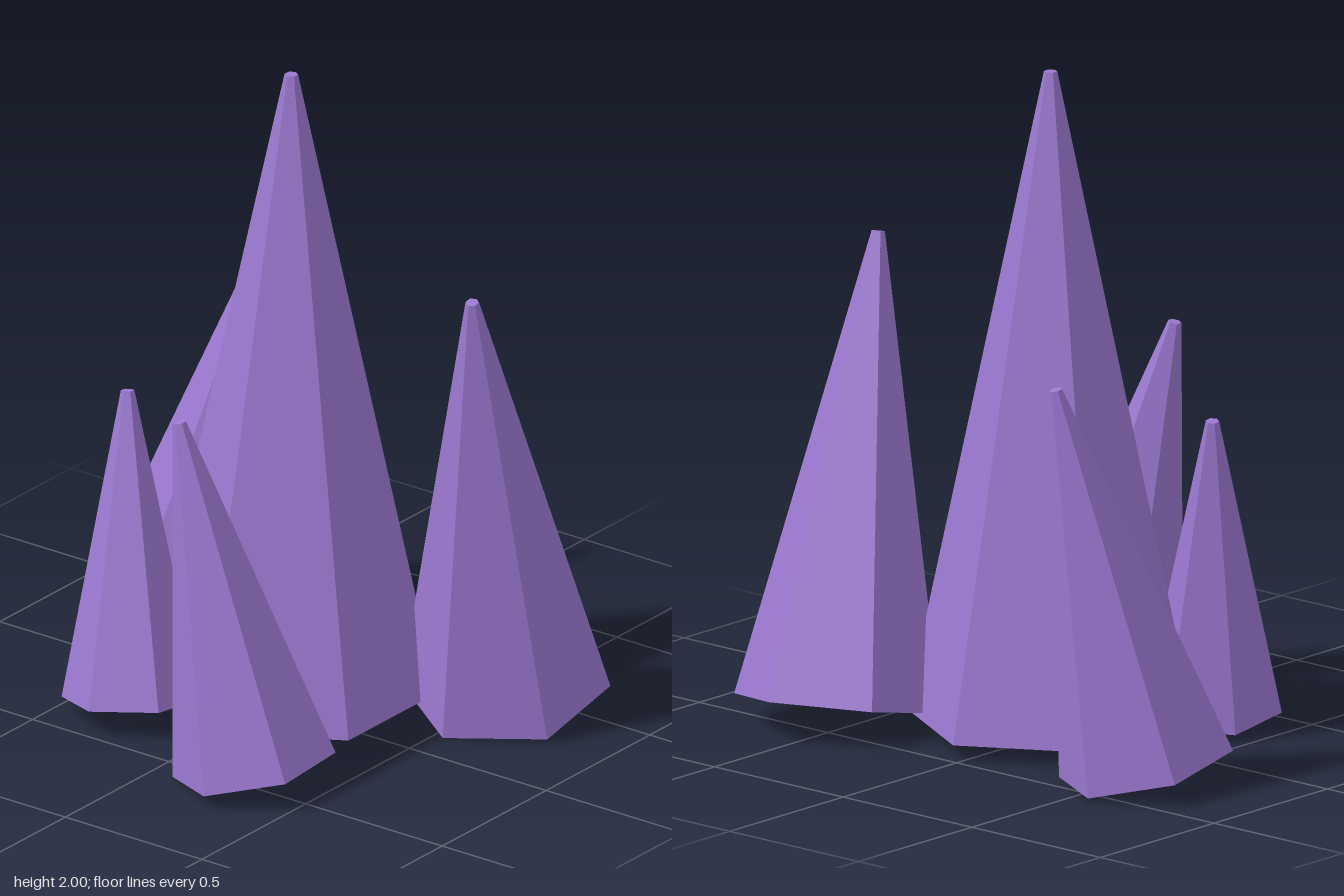
import * as THREE from 'three';

const UP = new THREE.Vector3(0, 1, 0);

export function createModel() {
  const group = new THREE.Group();
  group.name = 'crystalCluster';

  const purple = new THREE.MeshStandardMaterial({ color: 0x9b78d0, flatShading: true });
  purple.name = 'purple crystal';

  // Six-sided spike from the centre of its base to the centre of its blunt tip
  function crystal(name, radius, base, tip) {
    const from = new THREE.Vector3(...base);
    const axis = new THREE.Vector3(...tip).sub(from);
    const length = axis.length();
    const geometry = new THREE.CylinderGeometry(0.02, radius, length, 6);
    geometry.translate(0, length / 2, 0);
    const mesh = new THREE.Mesh(geometry, purple);
    mesh.name = name;
    mesh.position.copy(from);
    mesh.quaternion.setFromUnitVectors(UP, axis.normalize());
    group.add(mesh);
  }

  crystal('mainCrystal', 0.43, [0.018, 0.05, -0.065], [0.018, 2, -0.065]);

  // Smaller crystals leaning around the main one
  crystal('backLeftCrystal', 0.308, [0.535, 0.067, -0.418], [0.635, 1.417, -0.125]);
  crystal('backRightCrystal', 0.265, [-0.573, 0.065, -0.315], [-0.42, 1.215, -0.54]);
  crystal('frontRightCrystal', 0.205, [-0.288, 0.058, 0.303], [-0.395, 0.967, 0.18]);
  crystal('frontLeftCrystal', 0.245, [0.285, 0.057, 0.466], [0.06, 1.112, 0.53]);

  return group;
}
